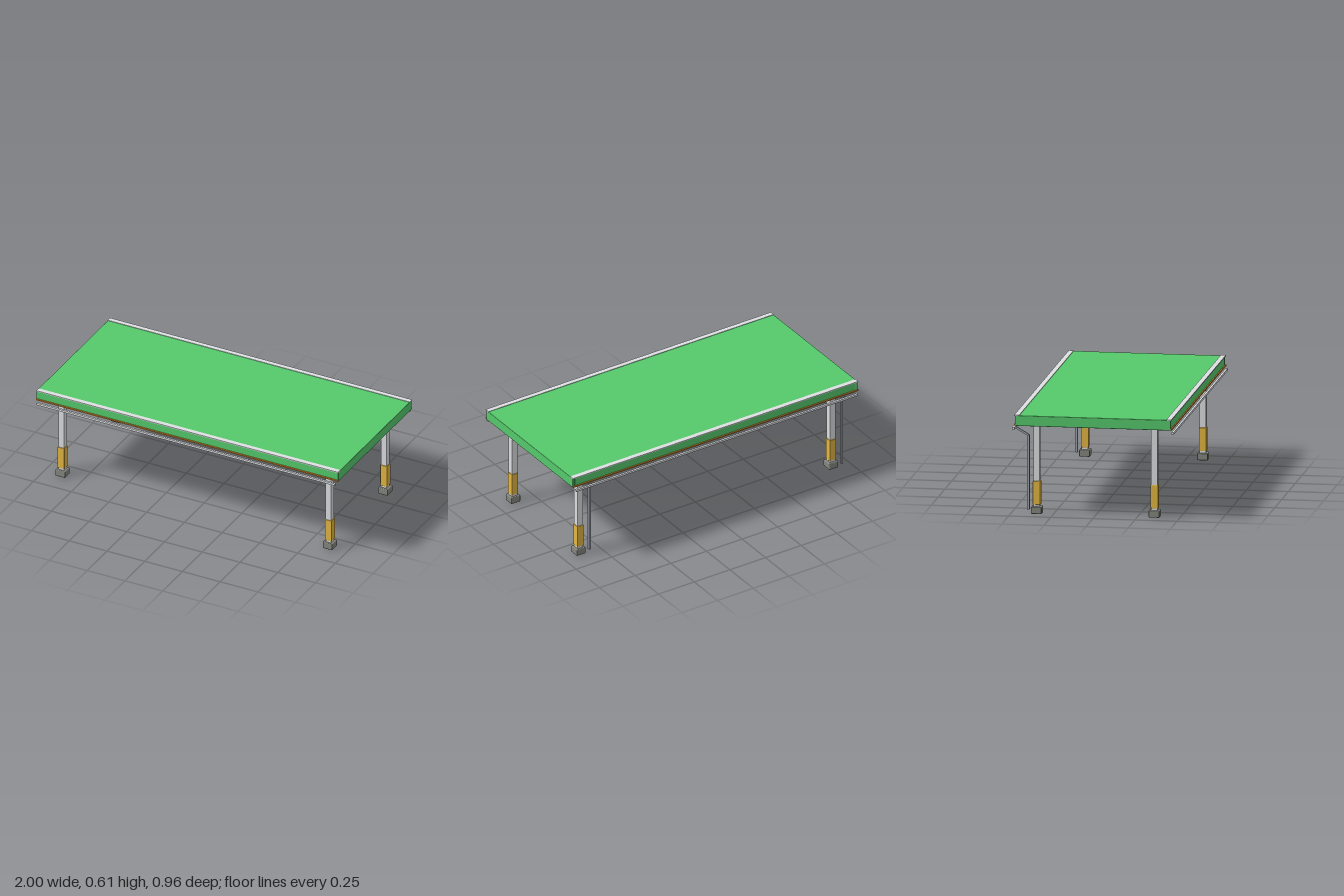
import * as THREE from 'three';
import { RoundedBoxGeometry } from 'three/addons/geometries/RoundedBoxGeometry.js';

const paint = (name, color) => {
  const m = new THREE.MeshStandardMaterial({ color });
  m.name = name;
  return m;
};

export function createModel() {
  const green = paint('green', 0x55ca6c);
  const lightGrey = paint('light grey', 0xdddfe2);
  const steel = paint('steel grey', 0x9fa3ac);
  const footGrey = paint('foot grey', 0x84867d);
  const yellow = paint('yellow', 0xe4b743);
  const orange = paint('orange', 0xd98c2a);
  const panelGrey = paint('panel grey', 0xc2c4c7);

  const model = new THREE.Group();
  model.name = 'platform';

  const add = (parent, name, geometry, material, x, y, z) => {
    const mesh = new THREE.Mesh(geometry, material);
    mesh.name = name;
    mesh.position.set(x, y, z);
    parent.add(mesh);
    return mesh;
  };
  const box = (parent, name, material, w, h, d, x, y, z) =>
    add(parent, name, new THREE.BoxGeometry(w, h, d), material, x, y, z);
  const softBox = (parent, name, material, w, h, d, r, x, y, z) =>
    add(parent, name, new RoundedBoxGeometry(w, h, d, 2, r), material, x, y, z);

  // Deck slab with a hollow skirt below it
  box(model, 'deck', green, 1.98, 0.024, 0.924, 0, 0.59, 0);
  for (const s of [-1, 1]) {
    box(model, 'sideSkirt', green, 1.98, 0.04, 0.014, 0, 0.56, s * 0.455);
    softBox(model, 'endSkirt', green, 0.016, 0.062, 0.926, 0.003, s * 0.992, 0.571, 0);
    box(model, 'topEdging', lightGrey, 2, 0.006, 0.03, 0, 0.602, s * 0.452);
    box(model, 'orangeStrip', orange, 2, 0.008, 0.007, 0, 0.545, s * 0.4655);
    box(model, 'lowerRail', lightGrey, 1.975, 0.013, 0.013, -0.002, 0.522, s * 0.474);
  }

  // Planks lining the underside, with narrow seams between them
  const planks = 12, pitch = 1.95 / planks;
  for (let i = 0; i < planks; i++) {
    box(model, 'plank', panelGrey, pitch - 0.004, 0.008, 0.89, (i - (planks - 1) / 2) * pitch, 0.574, 0);
  }

  // Three grab handles below the deck
  for (const x of [-0.6, 0, 0.6]) {
    const handle = new THREE.Group();
    handle.name = 'handle';
    handle.position.set(x, 0.572, 0);
    box(handle, 'grip', steel, 0.15, 0.009, 0.012, 0, -0.025, 0);
    for (const s of [-1, 1]) {
      box(handle, 'post', steel, 0.01, 0.025, 0.012, s * 0.07, -0.0125, 0);
    }
    model.add(handle);
  }

  // Four adjustable legs
  for (const x of [-0.885, 0.885]) {
    for (const z of [-0.35, 0.35]) {
      const leg = new THREE.Group();
      leg.name = 'leg';
      leg.position.set(x, 0, z);
      box(leg, 'mountPlate', lightGrey, 0.065, 0.014, 0.065, 0, 0.55, 0);
      box(leg, 'post', lightGrey, 0.038, 0.53, 0.038, 0, 0.305, 0);
      softBox(leg, 'sleeve', yellow, 0.045, 0.141, 0.045, 0.003, 0, 0.124, 0);
      softBox(leg, 'foot', footGrey, 0.064, 0.042, 0.064, 0.005, 0, 0.021, 0);
      model.add(leg);
    }
  }

  // Drain pipes from the rear rail
  const dy = 0.047, dz = -0.081;
  for (const x of [-0.93, 0.838]) {
    const pipe = new THREE.Group();
    pipe.name = 'drainPipe';
    pipe.position.set(x, 0, -0.393);
    box(pipe, 'downPipe', steel, 0.013, 0.445, 0.013, 0, 0.2525, 0);
    const arm = box(pipe, 'pipeArm', steel, 0.012, 0.012, Math.hypot(dy, dz), 0, 0.475 + dy / 2, dz / 2);
    arm.rotation.x = Math.atan2(dy, -dz);
    model.add(pipe);
  }
  return model;
}
